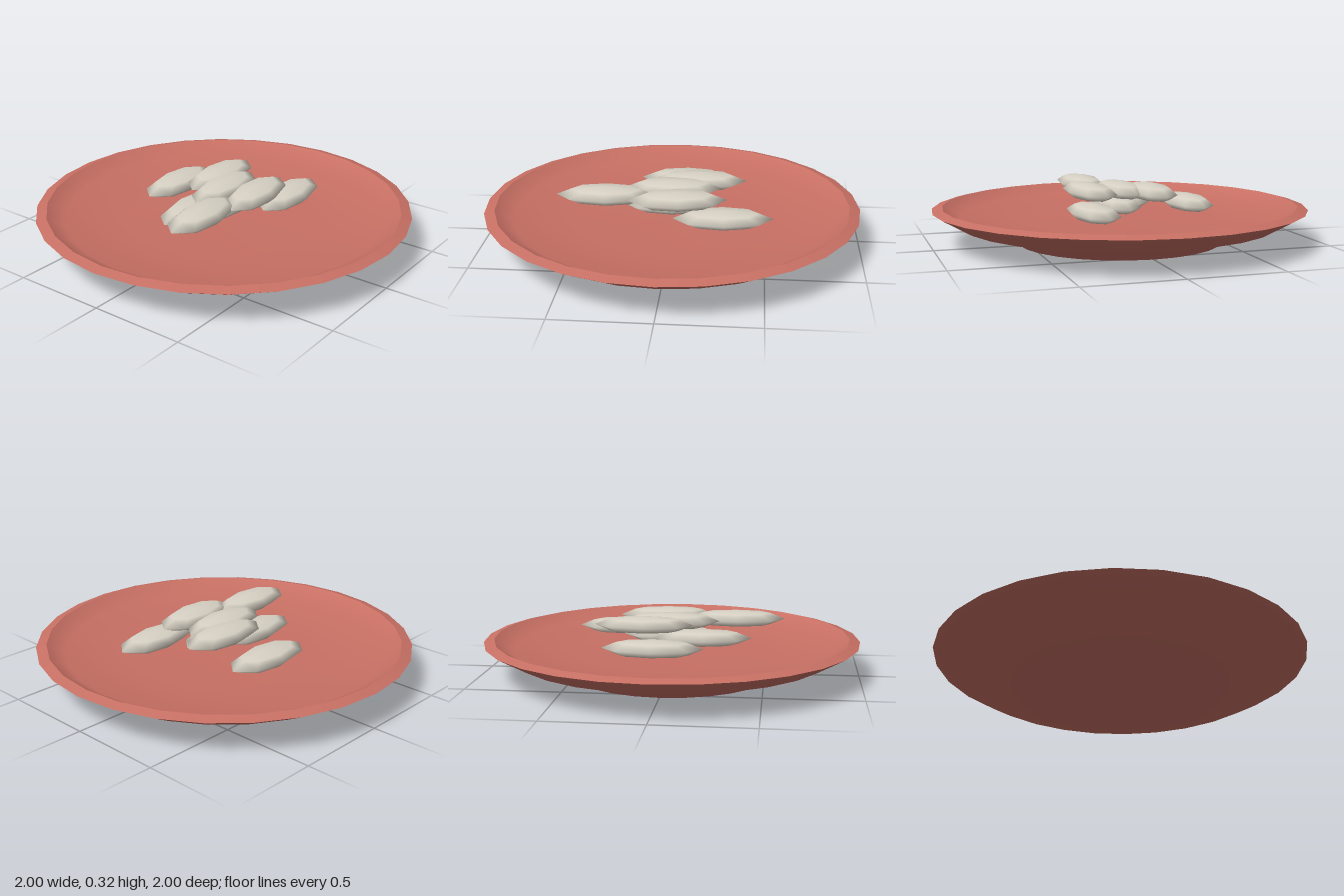
import * as THREE from 'three';

export function createModel() {
  const model = new THREE.Group();
  const clay = new THREE.MeshStandardMaterial({ color: 0xc87064 });
  clay.name = 'clay';
  const stone = new THREE.MeshStandardMaterial({ color: 0xd8d2c5 });
  stone.name = 'pale stone';

  // Plate: separate smooth surfaces, with sharp edges where they meet
  const plate = new THREE.Group();
  plate.name = 'plate';
  const turn = (name, profile) => {
    const points = profile.map(([x, y]) => new THREE.Vector2(x, y));
    const mesh = new THREE.Mesh(new THREE.LatheGeometry(points, 28), clay);
    mesh.name = name;
    plate.add(mesh);
  };
  turn('plateUnderside', [[0, 0], [0.55, 0], [0.6, 0.06], [0.85, 0.1], [1, 0.185]]);
  turn('plateRim', [[1, 0.185], [0.945, 0.2]]);
  turn('plateDish', [[0.945, 0.2], [0.85, 0.145], [0.5, 0.125], [0, 0.12]]);
  model.add(plate);

  // Flattened oval pieces: x, y, z, yaw
  const pieces = [
    // lower layer
    [0.06, 0.203, -0.36, 0.02],
    [-0.17, 0.203, -0.07, 0.06],
    [0.28, 0.203, 0.228, 0.06],
    [0.0, 0.2, 0.03, 0.05],
    // upper layer
    [-0.34, 0.276, 0.123, 0.05],
    [0.04, 0.278, 0.18, 0.1],
    [0.005, 0.278, 0.0, 0.05],
    [0.135, 0.278, -0.125, 0.03],
  ];
  const oval = new THREE.SphereGeometry(1, 8, 4).scale(0.26, 0.044, 0.117);
  pieces.forEach(([x, y, z, yaw], i) => {
    const mesh = new THREE.Mesh(oval, stone);
    mesh.name = `ovalPiece${i + 1}`;
    mesh.position.set(x, y, z);
    mesh.rotation.y = yaw;
    model.add(mesh);
  });
  return model;
}
